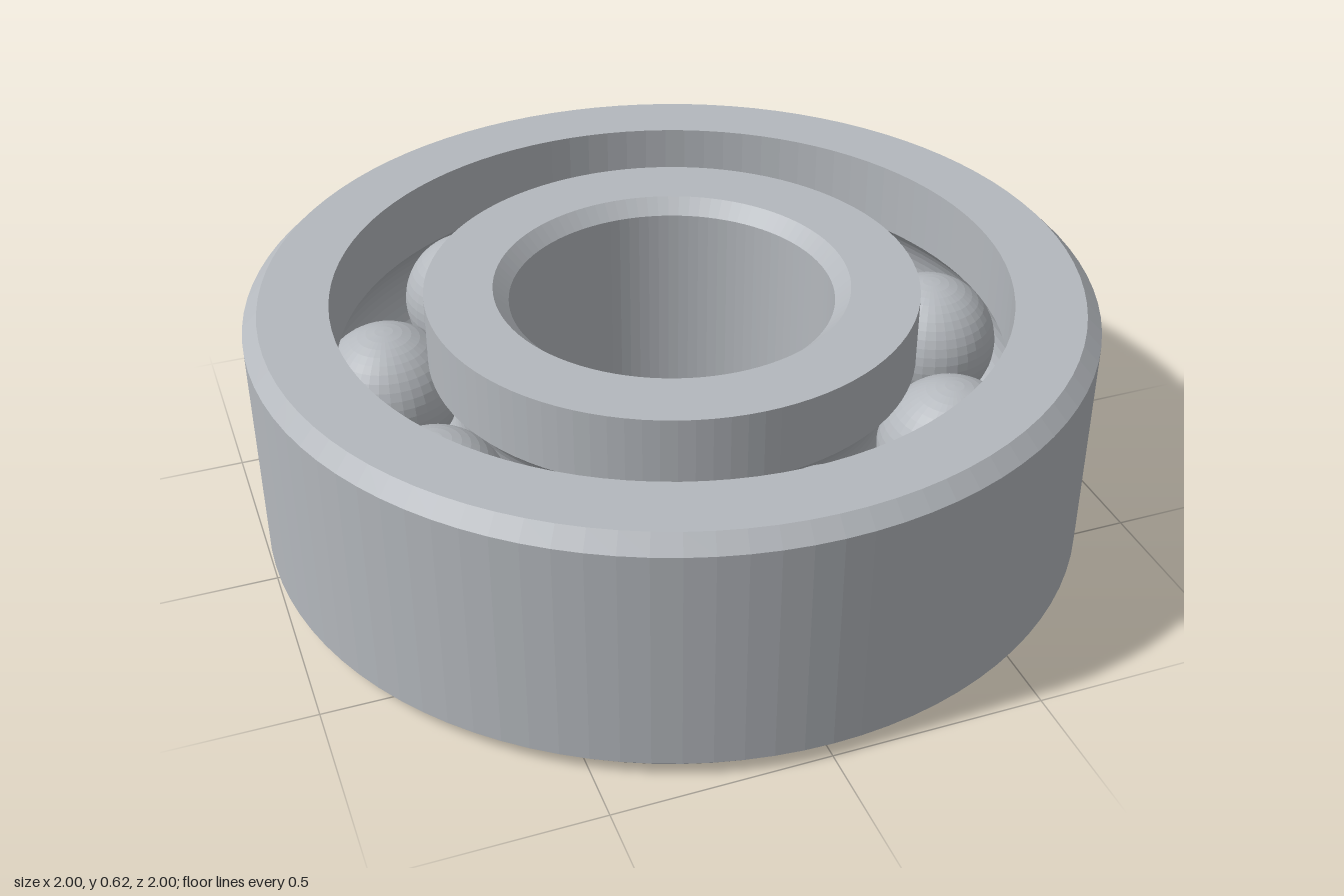
import * as THREE from 'three';

const HEIGHT = 0.62, MID = HEIGHT / 2, CHAMFER = 0.036;
const PITCH = 0.69, BALL_RADIUS = 0.17, GROOVE_RADIUS = 0.173, BALLS = 9;

// Points of the raceway arc between two angles, measured around the ball centre
function groove(edgeRadius, side, upward) {
  const half = Math.acos(Math.abs(edgeRadius - PITCH) / GROOVE_RADIUS);
  const points = [];
  for (let i = 0; i <= 14; i++) {
    const a = (upward ? 1 : -1) * (-half + (2 * half * i) / 14);
    points.push([PITCH + side * GROOVE_RADIUS * Math.cos(a), MID + GROOVE_RADIUS * Math.sin(a)]);
  }
  return points;
}

export function createModel() {
  const steel = new THREE.MeshStandardMaterial({ color: 0xb4b8bd });
  steel.name = 'steel';
  steel.flatShading = true;
  const group = new THREE.Group();
  group.name = 'ballBearing';

  // Closed cross-section, counterclockwise, spun around the axle
  const addRing = (name, profile) => {
    const points = profile.map(([r, y]) => new THREE.Vector2(r, y));
    const mesh = new THREE.Mesh(new THREE.LatheGeometry(points, 96), steel);
    mesh.name = name;
    group.add(mesh);
  };

  // Outer ring: chamfered outside, raceway on the inside
  addRing('outerRing', [
    [0.8, 0], [1 - CHAMFER, 0], [1, CHAMFER], [1, HEIGHT - CHAMFER], [1 - CHAMFER, HEIGHT],
    [0.8, HEIGHT], ...groove(0.8, 1, false), [0.8, 0],
  ]);

  // Inner ring: chamfered bore, raceway on the outside
  const bore = 0.385, shoulder = 0.583;
  addRing('innerRing', [
    [bore + CHAMFER, 0], [shoulder, 0], ...groove(shoulder, -1, true), [shoulder, HEIGHT],
    [bore + CHAMFER, HEIGHT], [bore, HEIGHT - CHAMFER], [bore, CHAMFER], [bore + CHAMFER, 0],
  ]);

  // Balls, evenly spaced along the raceway
  const ballGeometry = new THREE.SphereGeometry(BALL_RADIUS, 36, 24);
  for (let i = 0; i < BALLS; i++) {
    const a = (i / BALLS) * Math.PI * 2;
    const ball = new THREE.Mesh(ballGeometry, steel);
    ball.name = `ball${i + 1}`;
    ball.position.set(PITCH * Math.cos(a), MID, PITCH * Math.sin(a));
    group.add(ball);
  }
  return group;
}
